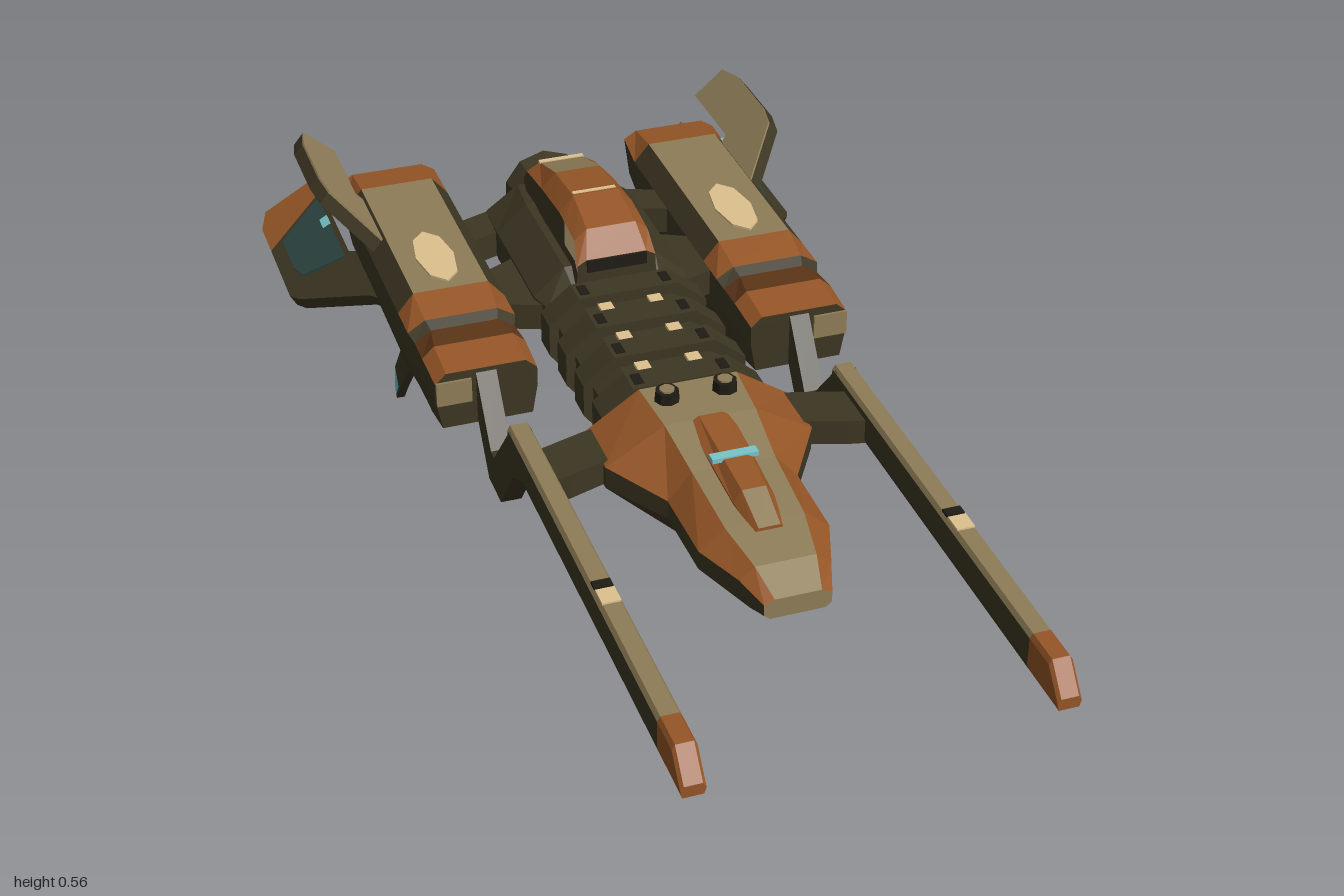
import * as THREE from 'three';

const mat = (name, color) => {
  const m = new THREE.MeshStandardMaterial({ color });
  m.name = name;
  m.flatShading = true;
  return m;
};

export function createModel() {
  const olive = mat('dark olive', 0x3d3623);
  const tan = mat('tan', 0x8f7d58);
  const orange = mat('rust orange', 0x965627);
  const cream = mat('cream', 0xdec28e);
  const black = mat('near black', 0x1f1b14);
  const brown = mat('dark brown', 0x5e3618);
  const teal = mat('teal', 0x2c4442);
  const cyan = mat('cyan', 0x78c4c8);
  const root = new THREE.Group();
  root.name = 'gunship';

  const add = (name, geometry, material, x = 0, y = 0, z = 0) => {
    const m = new THREE.Mesh(geometry, material);
    m.name = name;
    m.position.set(x, y, z);
    root.add(m);
    return m;
  };
  const box = (name, material, w, h, d, x, y, z) =>
    add(name, new THREE.BoxGeometry(w, h, d), material, x, y, z);

  // Eight-sided hull through sections running front to back.
  // Section: [z, topHalf, topY, midHalf, upperY, lowerY, bottomHalf, bottomY, bottomZ]
  // paint(band, segment): band 0 top, 1 shoulder, 2 side, 3 lower, 4 bottom, 'front', 'back'
  const loft = (name, sections, paint, x = 0) => {
    const rings = sections.map(([z, wT, yT, wM, yU, yL, wB, yB, zB = z]) => {
      const zL = z + (zB - z) * (yU - yL) / (yU - yB);
      return [[wT, yT, z], [-wT, yT, z], [-wM, yU, z], [-wM, yL, zL],
        [-wB, yB, zB], [wB, yB, zB], [wM, yL, zL], [wM, yU, z]];
    });
    const byColour = new Map();
    const tri = (m, ...p) => {
      if (!byColour.has(m)) byColour.set(m, []);
      byColour.get(m).push(...p.flat());
    };
    const bands = [0, 1, 2, 3, 4, 3, 2, 1];
    for (let s = 0; s < rings.length - 1; s++) {
      const a = rings[s], b = rings[s + 1];
      for (let i = 0; i < 8; i++) {
        const j = (i + 1) % 8, m = paint(bands[i], s);
        tri(m, a[i], b[i], a[j]);
        tri(m, a[j], b[i], b[j]);
      }
    }
    const f = rings[0], r = rings[rings.length - 1];
    for (let k = 1; k < 7; k++) {
      tri(paint('front', 0), f[0], f[k], f[k + 1]);
      tri(paint('back', rings.length), r[0], r[k + 1], r[k]);
    }
    const g = new THREE.BufferGeometry(), all = [], mats = [];
    for (const [m, p] of byColour) {
      g.addGroup(all.length / 3, p.length / 3, mats.length);
      mats.push(m);
      for (const v of p) all.push(v);
    }
    g.setAttribute('position', new THREE.Float32BufferAttribute(all, 3));
    g.computeVertexNormals();
    return add(name, g, mats, x);
  };

  const slab = (points, depth) => new THREE.ExtrudeGeometry(
    new THREE.Shape(points.map(p => new THREE.Vector2(...p))),
    { depth, bevelEnabled: false }).translate(0, 0, -depth / 2);

  // Plate outlined in (outward, z), tilted by an angle; lift raises it off its plane
  const plate = (name, material, points, depth, s, x, y, angle = 0, lift = 0) => {
    const c = Math.cos(angle), n = Math.sin(angle);
    const g = slab(points, depth).translate(0, 0, -s * lift);
    g.applyMatrix4(new THREE.Matrix4().makeBasis(
      new THREE.Vector3(s * c, n, 0), new THREE.Vector3(0, 0, 1), new THREE.Vector3(n, -s * c, 0)));
    return add(name, g, material, s * x, y);
  };
  // Plate outlined in (z, y), thick along x
  const profile = (name, material, points, depth, x) =>
    add(name, slab(points, depth).rotateY(-Math.PI / 2), material, x);

  // Cockpit
  loft('cockpit', [
    [0.665, 0.038, 0.395, 0.055, 0.387, 0.368, 0.045, 0.36],
    [0.61, 0.05, 0.42, 0.075, 0.40, 0.365, 0.055, 0.342],
    [0.52, 0.065, 0.432, 0.108, 0.398, 0.365, 0.08, 0.335],
    [0.38, 0.07, 0.445, 0.11, 0.398, 0.365, 0.09, 0.33],
    [0.27, 0.078, 0.465, 0.178, 0.405, 0.365, 0.095, 0.315],
    [0.16, 0.085, 0.467, 0.178, 0.405, 0.365, 0.10, 0.302],
  ], b => b === 0 || b === 'front' ? tan : b === 1 ? orange : olive);
  loft('canopy', [
    [0.54, 0.018, 0.435, 0.026, 0.425, 0.42, 0.026, 0.41],
    [0.47, 0.02, 0.46, 0.034, 0.44, 0.43, 0.034, 0.41],
    [0.27, 0.02, 0.471, 0.038, 0.46, 0.44, 0.038, 0.42],
  ], (b, s) => b === 0 && s === 0 ? tan : orange);
  box('canopyLight', cyan, 0.078, 0.008, 0.018, 0, 0.463, 0.38);

  // Ribbed midsection and rear hull
  loft('hull', [
    [0.17, 0.08, 0.44, 0.128, 0.41, 0.36, 0.095, 0.302],
    [-0.22, 0.08, 0.44, 0.128, 0.41, 0.36, 0.095, 0.302],
    [-0.26, 0.085, 0.465, 0.142, 0.415, 0.36, 0.095, 0.302],
    [-0.50, 0.085, 0.465, 0.142, 0.415, 0.36, 0.095, 0.31],
    [-0.595, 0.075, 0.455, 0.138, 0.41, 0.37, 0.08, 0.335],
  ], () => olive);
  [0.12, 0.02, -0.08, -0.18].forEach((z, i) => {
    loft('rib', [0.026, -0.026].map(d =>
      [z + d, 0.09, 0.46, 0.145, 0.415, 0.355, 0.10, 0.298]), () => olive);
    for (const s of [-1, 1]) {
      if (i < 3) box('ribLamp', cream, 0.024, 0.008, 0.044, s * 0.045, 0.442, z - 0.05);
      box('ribVent', black, 0.016, 0.008, 0.03, s * 0.075, 0.458, z);
    }
  });
  for (const s of [-1, 1]) {
    add('sensorRing', new THREE.CylinderGeometry(0.02, 0.022, 0.02, 8), black, s * 0.05, 0.474, 0.2);
    add('sensorCap', new THREE.CylinderGeometry(0.013, 0.013, 0.006, 8), tan, s * 0.05, 0.484, 0.2);
  }

  // Dorsal pod with side windows
  loft('dorsalPod', [
    [-0.22, 0.055, 0.495, 0.072, 0.485, 0.47, 0.075, 0.44],
    [-0.25, 0.045, 0.54, 0.068, 0.52, 0.48, 0.075, 0.44],
    [-0.31, 0.042, 0.553, 0.068, 0.527, 0.48, 0.075, 0.44],
    [-0.34, 0.042, 0.559, 0.068, 0.53, 0.48, 0.075, 0.44],
    [-0.45, 0.042, 0.55, 0.068, 0.52, 0.48, 0.075, 0.44],
    [-0.56, 0.04, 0.515, 0.065, 0.50, 0.47, 0.07, 0.44],
    [-0.60, 0.035, 0.48, 0.06, 0.465, 0.455, 0.06, 0.43],
  ], (b, s) => b === 0 ? (s === 4 ? tan : orange) : b === 1 ? orange : b === 2 && s < 2 ? cream : olive);
  box('podVent', black, 0.11, 0.022, 0.008, 0, 0.483, -0.219);
  box('podStripe', cream, 0.085, 0.006, 0.01, 0, 0.517, -0.555);
  box('podStripe', cream, 0.08, 0.006, 0.008, 0, 0.557, -0.35);

  // Tail engine
  const engine = add('tailEngine', new THREE.CylinderGeometry(0.055, 0.08, 0.09, 10), olive, 0, 0.395, -0.63);
  engine.rotation.x = Math.PI / 2;
  add('tailEngineRim', new THREE.RingGeometry(0.06, 0.079, 10), tan, 0, 0.395, -0.677).rotation.y = Math.PI;
  add('tailEngineRing', new THREE.RingGeometry(0.05, 0.06, 10), brown, 0, 0.395, -0.677).rotation.y = Math.PI;
  add('tailEngineGlow', new THREE.CircleGeometry(0.05, 10), cream, 0, 0.395, -0.677).rotation.y = Math.PI;

  for (const s of [-1, 1]) {
    const x = s * 0.285;
    // Engine nacelle
    loft('nacelle', [
      [-0.06, 0.07, 0.418, 0.09, 0.40, 0.365, 0.08, 0.31],
      [-0.14, 0.07, 0.425, 0.092, 0.405, 0.36, 0.08, 0.295],
      [-0.20, 0.06, 0.42, 0.09, 0.40, 0.35, 0.075, 0.28],
      [-0.22, 0.065, 0.43, 0.097, 0.41, 0.345, 0.072, 0.27],
      [-0.29, 0.068, 0.445, 0.097, 0.41, 0.345, 0.066, 0.25],
      [-0.42, 0.068, 0.445, 0.097, 0.41, 0.345, 0.062, 0.222],
      [-0.50, 0.068, 0.445, 0.097, 0.41, 0.345, 0.062, 0.226],
      [-0.69, 0.068, 0.445, 0.097, 0.41, 0.345, 0.066, 0.275, -0.64],
      [-0.77, 0.068, 0.435, 0.092, 0.42, 0.36, 0.066, 0.295, -0.705],
    ], (b, i) => {
      if (b === 'back') return cream;
      if (b === 'front' || b > 1) return olive;
      if (i === 1) return brown;
      if (i === 0 || i === 3 || i === 7) return orange;
      return b === 0 && i !== 2 ? tan : olive;
    }, x);
    const patch = add('nacellePatch', new THREE.CylinderGeometry(0.035, 0.035, 0.006, 8), cream, x, 0.446, -0.40);
    patch.rotation.y = Math.PI / 8;
    patch.geometry.rotateY(Math.PI / 8).rotateY(-Math.PI / 8).scale(1, 1, 1);
    patch.rotation.y = 0;
    patch.scale.z = 2.6;
    box('intakePlate', tan, 0.062, 0.045, 0.006, s * 0.343, 0.38, -0.058);
    box('shoulderLight', cyan, 0.008, 0.008, 0.045, s * 0.374, 0.42, -0.685);

    // Long gun barrel
    const bar = (z, top = 0.43) => [z, 0.014, top, 0.019, top - 0.008, Math.min(0.375, top - 0.01), 0.016, 0.365];
    loft('barrel', [bar(0.90), bar(0.14)], b => b === 0 || b === 1 ? tan : olive, x);
    loft('barrelTip', [bar(1.0, 0.385), bar(0.962), bar(0.9)], () => orange, x);
    box('barrelBand', black, 0.03, 0.006, 0.018, x, 0.43, 0.59);
    box('barrelMark', cream, 0.03, 0.006, 0.035, x, 0.43, 0.62);

    // Dipped arm from barrel to nacelle
    profile('barrelArm', olive, [[0.21, 0.42], [0.15, 0.425], [0.04, 0.30], [0.02, 0.30], [-0.06, 0.41],
      [-0.12, 0.41], [-0.10, 0.33], [-0.07, 0.33], [0.0, 0.232], [0.075, 0.232], [0.16, 0.34], [0.21, 0.367]], 0.036, x);

    // Struts joining the hull to barrels and nacelles
    plate('barrelStrut', olive, [[0.15, 0.16], [0.19, 0.17], [0.285, 0.20], [0.285, 0.29], [0.24, 0.28], [0.15, 0.25]], 0.045, s, 0, 0.388);
    plate('frontWingStrut', olive, [[0.12, -0.23], [0.20, -0.26], [0.20, -0.38], [0.12, -0.42]], 0.05, s, 0, 0.385);
    plate('rearWingStrut', olive, [[0.12, -0.60], [0.20, -0.57], [0.20, -0.49], [0.12, -0.52]], 0.05, s, 0, 0.385);

    // Upper fin with a tan top skin and a rust mark beneath its edge
    const upper = [[0, -0.47], [0.125, -0.60], [0.135, -0.65], [0.135, -0.79], [0.12, -0.85],
      [0.045, -0.85], [0.045, -0.67], [0, -0.64]];
    plate('upperFin', olive, upper, 0.026, s, 0.345, 0.408, 0.7);
    plate('upperFinSkin', tan, upper, 0.004, s, 0.345, 0.408, 0.7, 0.015);
    plate('upperFinMark', orange, [[0.112, -0.69], [0.133, -0.69], [0.133, -0.78], [0.112, -0.78]],
      0.004, s, 0.345, 0.408, 0.7, -0.012);

    // Lower fin with rust tip, teal panel and light
    const tilt = -0.52;
    plate('lowerFin', olive, [[0, -0.44], [0.04, -0.52], [0.165, -0.65], [0.18, -0.68], [0.18, -0.86],
      [0.045, -0.94], [0.045, -0.70], [0, -0.64]], 0.026, s, 0.345, 0.325, tilt);
    plate('lowerFinTip', orange, [[0.045, -0.94], [0.18, -0.86], [0.18, -0.95], [0.16, -1.0], [0.045, -1.0]],
      0.026, s, 0.345, 0.325, tilt);
    plate('lowerFinPanel', teal, [[0.05, -0.68], [0.14, -0.71], [0.15, -0.75], [0.15, -0.86], [0.05, -0.92]],
      0.004, s, 0.345, 0.325, tilt, 0.015);
    plate('lowerFinLight', cyan, [[0.048, -0.81], [0.065, -0.81], [0.065, -0.84], [0.048, -0.84]],
      0.004, s, 0.345, 0.325, tilt, 0.018);

    // Swept ventral blade with a glowing trailing tip
    profile('ventralBlade', olive, [[-0.42, 0.24], [-0.50, 0.24], [-0.637, 0.075], [-0.617, 0.04],
      [-0.645, 0.005], [-0.64, 0], [-0.607, 0.04]], 0.016, s * 0.315);
    profile('ventralBladeTip', cyan, [[-0.617, 0.04], [-0.637, 0.075], [-0.65, 0.02], [-0.645, 0.005]], 0.016, s * 0.315);
  }
  return root;
}
